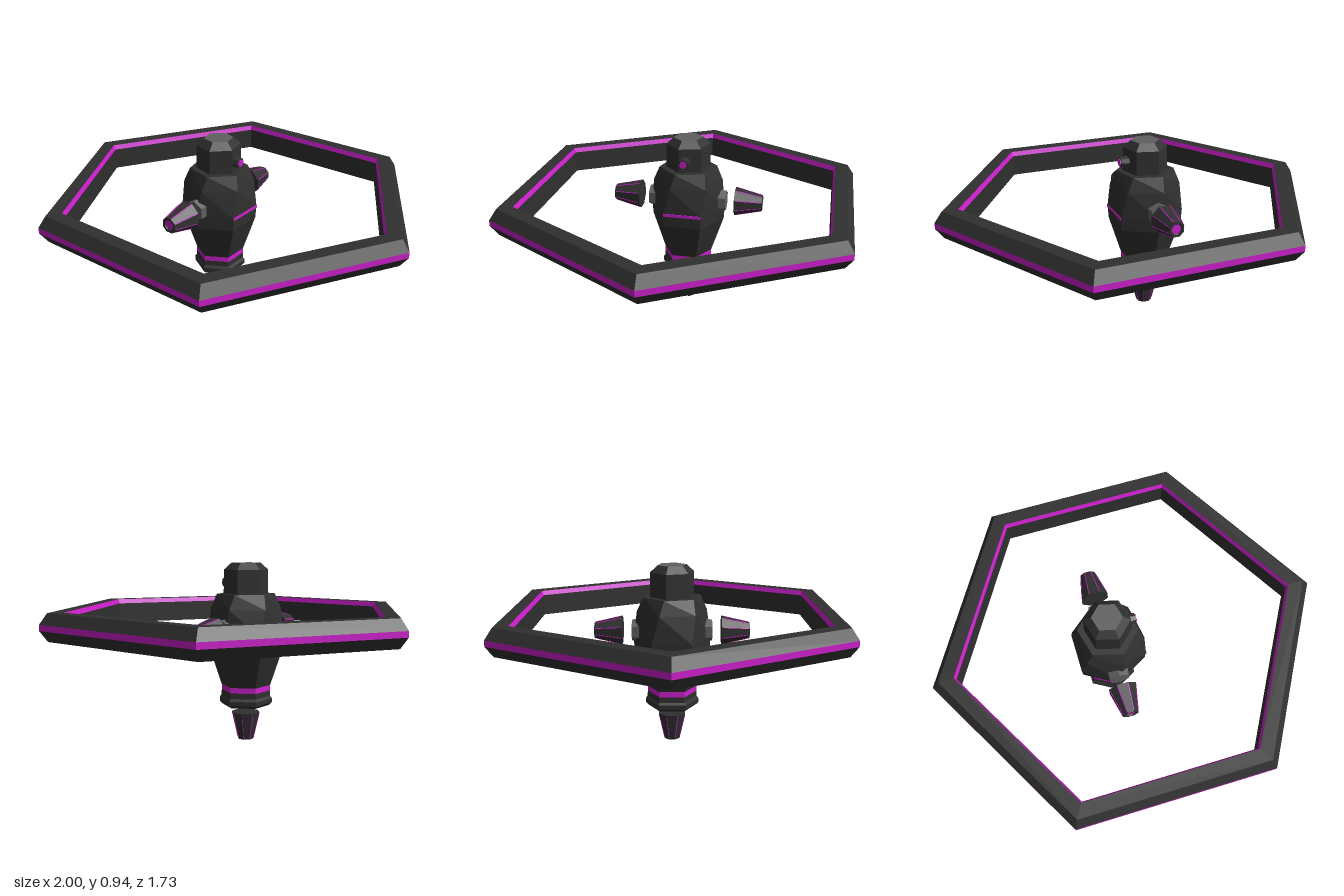
import * as THREE from 'three';

const flat = (name, color) => {
  const m = new THREE.MeshStandardMaterial({ color, flatShading: true });
  m.name = name;
  return m;
};

export function createModel() {
  const dark = flat('charcoal', 0x303030);
  const glow = flat('magenta', 0xcc1fcc);
  const grey = flat('grey', 0x606060);
  const model = new THREE.Group();
  model.name = 'hoverDrone';

  const add = (parent, name, geometry, material) => {
    const mesh = new THREE.Mesh(geometry, material);
    mesh.name = name;
    parent.add(mesh);
    return mesh;
  };
  // faceted shell from [radius, height] points listed upwards on the outside
  const shell = (points, phi = 0, sides = 6) =>
    new THREE.LatheGeometry(points.map(([r, y]) => new THREE.Vector2(r, y)), sides, phi * Math.PI / 180);

  // hexagonal ring with glowing outer band and inner upper edge
  const ring = new THREE.Group();
  ring.name = 'ring';
  model.add(ring);
  add(ring, 'ringTop', shell([[1, 0.645], [0.96, 0.7], [0.882, 0.7]], 30), dark);
  add(ring, 'ringInnerGlow', shell([[0.882, 0.7], [0.872, 0.675]], 30), glow);
  add(ring, 'ringUnderside', shell([[0.872, 0.675], [0.872, 0.56], [0.96, 0.56], [1, 0.615]], 30), dark);
  add(ring, 'ringOuterGlow', shell([[1, 0.615], [1, 0.645]], 30), glow);

  const body = new THREE.Group();
  body.name = 'body';
  body.position.x = -0.09;
  model.add(body);

  // torso, whose shoulders turn towards the head
  const torso = shell([[0.13, 0.293], [0.195, 0.49], [0.2, 0.56], [0.183, 0.7], [0.152, 0.775], [0, 0.775]]);
  const p = torso.attributes.position;
  for (let i = 0; i < p.count; i++) {
    const t = THREE.MathUtils.clamp((p.getY(i) - 0.56) / 0.215, 0, 1) * Math.PI / 12;
    const x = p.getX(i), z = p.getZ(i);
    p.setX(i, x * Math.cos(t) + z * Math.sin(t));
    p.setZ(i, z * Math.cos(t) - x * Math.sin(t));
  }
  torso.computeVertexNormals();
  add(body, 'torso', torso, dark);
  add(body, 'waistGlow', shell([[0.129, 0.264], [0.129, 0.293]]), glow);
  add(body, 'collar', shell([[0, 0.185], [0.125, 0.185], [0.14, 0.2], [0.14, 0.222], [0.13, 0.235], [0.129, 0.264]]), dark);

  // glowing stripe across the chest
  add(body, 'chestStripe', new THREE.BoxGeometry(0.008, 0.016, 0.2), glow).position.set(0.172, 0.557, 0);

  // head with grey crown
  add(body, 'head', shell([[0.117, 0.775], [0.115, 0.9], [0.076, 0.935]], 15), dark);
  add(body, 'crown', shell([[0.076, 0.935], [0, 0.935]], 15), grey);

  // eye looking along +x
  const eye = add(body, 'eyeHousing', new THREE.CylinderGeometry(0.027, 0.034, 0.06, 8), dark);
  eye.rotation.z = -Math.PI / 2;
  eye.position.set(0.11, 0.83, 0);
  const lens = add(body, 'eyeLens', new THREE.CylinderGeometry(0.019, 0.019, 0.006, 8), glow);
  lens.rotation.z = -Math.PI / 2;
  lens.position.set(0.142, 0.83, 0);

  // floating tapered limb pointing down, with thin glowing seams and a nozzle
  const limb = (name) => {
    const g = new THREE.Group();
    g.name = name;
    const k = 1 / Math.cos(Math.PI / 8);
    add(g, name + 'Shell', shell([[0.022, 0.012], [0.03, 0], [0.039 * k, 0], [0.07 * k, 0.145], [0, 0.145]], 22.5, 8), dark);
    add(g, name + 'Nozzle', new THREE.CylinderGeometry(0.026, 0.026, 0.006, 8), glow).position.y = 0.009;
    for (let i = 0; i < 8; i++) {
      const pivot = new THREE.Group();
      pivot.name = name + 'SeamPivot';
      pivot.rotation.y = (i + 0.5) * Math.PI / 4;
      const seam = add(pivot, name + 'Seam', new THREE.BoxGeometry(0.004, 0.135, 0.004), glow);
      seam.position.set(0, 0.0725, 0.0545 * k - 0.001);
      seam.rotation.x = Math.atan2(0.031 * k, 0.145);
      g.add(pivot);
    }
    body.add(g);
    return g;
  };
  limb('leg');

  // arms and their grey sockets on both sides
  for (const s of [1, -1]) {
    const arm = limb(s > 0 ? 'frontArm' : 'backArm');
    arm.rotation.x = -s * Math.PI / 2;
    arm.position.set(0, 0.595, s * 0.4);
    const socket = add(body, 'armSocket', new THREE.CylinderGeometry(0.056, 0.064, 0.1, 6), grey);
    socket.rotation.x = s * Math.PI / 2;
    socket.position.set(0, 0.595, s * 0.157);
  }
  return model;
}
